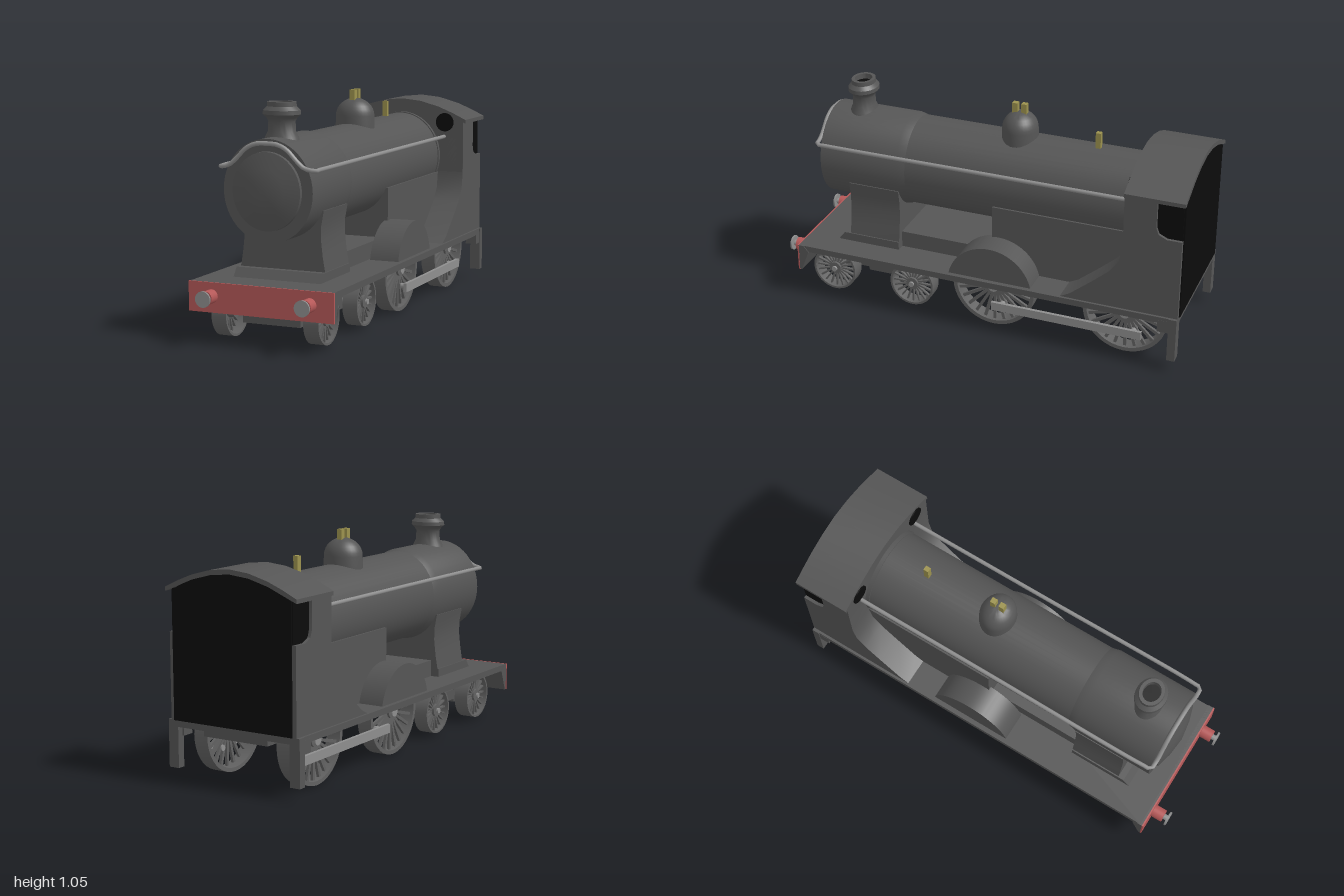
import * as THREE from 'three';
import { mergeGeometries, toCreasedNormals } from 'three/addons/utils/BufferGeometryUtils.js';

const mat = (name, color) => {
  const m = new THREE.MeshStandardMaterial({ color });
  m.name = name;
  return m;
};

export function createModel() {
  const root = new THREE.Group();
  root.name = 'steamLocomotive';
  const body = mat('bodyGrey', 0x555555);
  const wheelMat = mat('wheelGrey', 0x616161);
  const steel = mat('steel', 0x8e8e8e);
  const red = mat('bufferRed', 0xb55858);
  const brass = mat('brass', 0x9c924e);
  const black = mat('black', 0x0b0b0b);

  const add = (name, geo, m) => {
    const mesh = new THREE.Mesh(geo, m);
    mesh.name = name;
    root.add(mesh);
    return mesh;
  };
  // box from min/max ranges
  const box = (x0, x1, y0, y1, z0, z1) =>
    new THREE.BoxGeometry(x1 - x0, y1 - y0, z1 - z0).translate((x0 + x1) / 2, (y0 + y1) / 2, (z0 + z1) / 2);
  const shapeOf = pts => new THREE.Shape(pts.map(p => new THREE.Vector2(p[0], p[1])));
  const extrude = (shape, depth) =>
    toCreasedNormals(new THREE.ExtrudeGeometry(shape, { depth, bevelEnabled: false, curveSegments: 24 }), 0.6);
  // side shape given as (z, y), filling x0..x1
  const side = (shape, x0, x1) => extrude(shape, x1 - x0).rotateY(-Math.PI / 2).translate(x1, 0, 0);
  // front profile given as (x, y), filling z0..z1
  const front = (pts, z0, z1) => extrude(shapeOf(pts), z1 - z0).translate(0, 0, z0);
  const lathe = (pts, seg) =>
    toCreasedNormals(new THREE.LatheGeometry(pts.map(p => new THREE.Vector2(p[0], p[1])), seg), 0.6);
  const mirrorX = pts => [...pts, ...pts.filter(p => p[0] !== 0).reverse().map(p => [-p[0], p[1]])];
  const xCyl = (r, len) => new THREE.CylinderGeometry(r, r, len, 20).rotateZ(Math.PI / 2);
  const zCyl = (r, len) => new THREE.CylinderGeometry(r, r, len, 24).rotateX(Math.PI / 2);

  // boiler, smokebox and door: (radius, z) profiles, slightly oval
  const barrel = (name, pts) =>
    add(name, lathe(pts, 48).rotateX(Math.PI / 2).scale(0.94, 1, 1).translate(0, 0.678, 0), body);
  barrel('boiler', [[0.217, -0.73], [0.217, 0.42]]);
  barrel('smokebox', [[0.217, 0.4], [0.227, 0.44], [0.227, 0.835], [0, 0.835]]);
  barrel('smokeboxDoor', [[0.173, 0.834], [0.172, 0.852], [0.1, 0.872], [0, 0.886]]);
  barrel('boilerBand', [[0.217, -0.72], [0.222, -0.72], [0.222, -0.7], [0.217, -0.7]]);

  // smokebox saddle with flared foot
  add('saddle', front(mirrorX([[0.21, 0.27], [0.207, 0.31], [0.195, 0.38], [0.186, 0.46], [0.188, 0.52], [0.2, 0.585]]), 0.4375, 0.695), body);
  add('saddleFoot', side(shapeOf([[0.4375, 0.27], [0.76, 0.27], [0.725, 0.315], [0.4375, 0.315]]), -0.212, 0.212), body);

  // firebox and the box between the frames
  add('firebox', box(-0.198, 0.198, 0.27, 0.595, -0.73, -0.042), body);
  add('frameBox', box(-0.17, 0.17, 0.27, 0.355, -0.05, 0.44), body);

  // chimney
  add('chimney', lathe([[0.075, 0.84], [0.064, 0.9], [0.053, 0.925], [0.051, 0.97], [0.058, 0.985], [0.072, 1.0],
    [0.071, 1.018], [0.056, 1.035], [0.055, 1.055], [0.04, 1.055], [0.038, 1.02]], 32).scale(1.2, 1, 1).translate(0, 0, 0.693), body);
  add('chimneyBore', new THREE.CylinderGeometry(0.039, 0.039, 0.004, 24).scale(1.2, 1, 1).translate(0, 1.028, 0.693), black);

  // steam dome, safety valves, whistle
  const domePts = [[0.086, 0.85], [0.084, 0.93]];
  for (let i = 1; i <= 8; i++) domePts.push([0.084 * Math.cos(i * Math.PI / 16), 0.93 + 0.084 * Math.sin(i * Math.PI / 16)]);
  add('steamDome', lathe(domePts, 32).scale(1.12, 1, 1).translate(0, 0, -0.107), body);
  for (const z of [-0.083, -0.128]) add('safetyValve', box(-0.013, 0.013, 0.99, 1.055, z - 0.013, z + 0.013), brass);
  add('whistle', box(-0.012, 0.012, 0.87, 0.97, -0.503, -0.478), brass);

  // handrail: along both sides and arched over the smokebox front
  const half = [[0.23, 0.778, -0.72], [0.23, 0.778, 0], [0.23, 0.778, 0.8], [0.225, 0.777, 0.842], [0.18, 0.787, 0.848],
    [0.14, 0.82, 0.848], [0.1, 0.86, 0.848], [0.055, 0.882, 0.848]];
  const rail = [...half, [0, 0.886, 0.848], ...half.slice().reverse().map(p => [-p[0], p[1], p[2]])].map(p => new THREE.Vector3(...p));
  add('handrail', new THREE.TubeGeometry(new THREE.CatmullRomCurve3(rail, false, 'centripetal'), 160, 0.01, 8), steel);

  // running board, main frame and front beam
  add('runningBoard', box(-0.345, 0.345, 0.245, 0.275, -0.99, 0.9), body);
  add('mainFrame', box(-0.17, 0.17, 0.215, 0.25, -0.97, 0.18), body);
  add('beamBack', side(shapeOf([[0.885, 0.275], [0.86, 0.245], [0.9, 0.142], [0.911, 0.142], [0.911, 0.275]]), -0.348, 0.348), body);
  add('bufferBeam', box(-0.349, 0.349, 0.142, 0.276, 0.91, 0.917), red);

  // cab with arched roof
  const arch = d => mirrorX([[0.33, 0.275], [0.33, 0.868 - d], [0.27, 0.897 - d], [0.2, 0.926 - d], [0.1, 0.953 - d], [0, 0.963 - d]]);
  add('cabFront', front(arch(0.004), -0.745, -0.72), body);
  add('cabInterior', box(-0.318, 0.318, 0.276, 0.862, -0.988, -0.74), black);
  add('cabBack', front(arch(0.012).map(p => [p[0] * 0.95, p[1]]), -0.996, -0.988), black);
  const roof = mirrorX([[0.345, 0.848], [0.345, 0.867], [0.275, 0.9], [0.2, 0.93], [0.1, 0.957], [0, 0.967]]);
  const roofUnder = mirrorX([[0.2, 0.908], [0.1, 0.935], [0, 0.945]]).reverse();
  add('cabRoof', front([...roof, ...roofUnder], -1, -0.72), body);

  // cab side with window notch and sweeping front edge; rounded splasher
  const sideSheet = shapeOf([[-0.99, 0.27], [-0.42, 0.27], [-0.475, 0.298], [-0.58, 0.385], [-0.66, 0.455], [-0.705, 0.515], [-0.72, 0.6],
    [-0.72, 0.865], [-0.87, 0.865], [-0.87, 0.72], [-0.882, 0.688], [-0.92, 0.67], [-0.99, 0.67]]);
  const splasher = new THREE.Shape();
  splasher.absarc(-0.075, 0.23, 0.21, 0.19, Math.PI - 0.19, false);

  // spoked wheel, axle along x
  const wheel = (r, hubR, spokes) => {
    const w = 0.036, inner = r * 0.91;
    const parts = [
      new THREE.LatheGeometry([[inner, w], [inner, -w], [r, -w], [r, w], [inner, w]].map(p => new THREE.Vector2(...p)), 40),
      new THREE.CylinderGeometry(hubR, hubR, 0.06, 20)];
    for (let i = 0; i < spokes; i++)
      parts.push(new THREE.BoxGeometry(inner, 0.014, r * 0.07).translate(inner / 2, -0.012, 0).rotateY(i * 2 * Math.PI / spokes));
    return toCreasedNormals(mergeGeometries(parts), 0.6).rotateZ(Math.PI / 2);
  };
  const driving = ['drivingWheel', wheel(0.205, 0.034, 24), 0.205, 0.025];
  const bogie = ['bogieWheel', wheel(0.112, 0.03, 20), 0.125, 0.013];
  const wheelSets = [[-0.072, driving], [-0.722, driving], [0.768, bogie], [0.354, bogie]];

  // mirrored parts
  for (const s of [1, -1]) {
    const span = (a, b) => (s > 0 ? [a, b] : [-b, -a]);
    add('cabSide', side(sideSheet, ...span(0.19, 0.333)), body);
    add('splasher', side(splasher, ...span(0.18, 0.322)), body);
    add('rearStep', box(...span(0.297, 0.349), 0.058, 0.275, -0.99, -0.952), body);
    add('rearValance', box(...span(0.29, 0.346), 0.2, 0.26, -0.96, -0.9), body);
    add('cabWindow', zCyl(0.047, 0.008).translate(s * 0.234, 0.852, -0.718), black);

    // buffers
    add('bufferHousing', zCyl(0.031, 0.06).translate(s * 0.236, 0.215, 0.943), red);
    add('bufferStem', zCyl(0.014, 0.03).translate(s * 0.236, 0.215, 0.983), steel);
    add('bufferHead', zCyl(0.036, 0.009).translate(s * 0.236, 0.215, 0.9955), steel);

    // wheels with axle ends
    for (const [z, [name, geo, y, capR]] of wheelSets) {
      const m = add(name, geo, wheelMat);
      m.position.set(s * 0.222, y, z);
      if (s < 0) m.rotation.y = Math.PI;
      add('axleEnd', xCyl(capR, 0.01).translate(s * 0.26, y, z), steel);
    }

    // coupling rod, offset between the two sides
    const [y, z] = s > 0 ? [0.112, -0.44] : [0.142, -0.52];
    add('couplingRod', new THREE.BoxGeometry(0.016, 0.042, 0.74).translate(s * 0.277, y, z), steel);
    for (const d of [0.325, -0.325])
      add('crankPin', xCyl(0.014, 0.06).translate(s * 0.25, y, z + d), steel);
  }

  // axles
  for (const [z, [, , y]] of wheelSets) add('axle', xCyl(0.013, 0.44).translate(0, y, z), steel);

  // front bogie
  add('bogieCentre', box(-0.14, 0.14, 0.083, 0.25, 0.5, 0.635), body);
  add('bogieBolster', side(shapeOf([[0.43, 0.25], [0.5, 0.19], [0.635, 0.19], [0.705, 0.25]]), -0.2, 0.2), body);
  for (const z of [0.768, 0.354]) add('axleBox', box(-0.14, 0.14, 0.085, 0.165, z - 0.04, z + 0.04), body);
  add('bogieFrame', box(-0.14, 0.14, 0.1, 0.15, 0.35, 0.77), body);

  return root;
}
